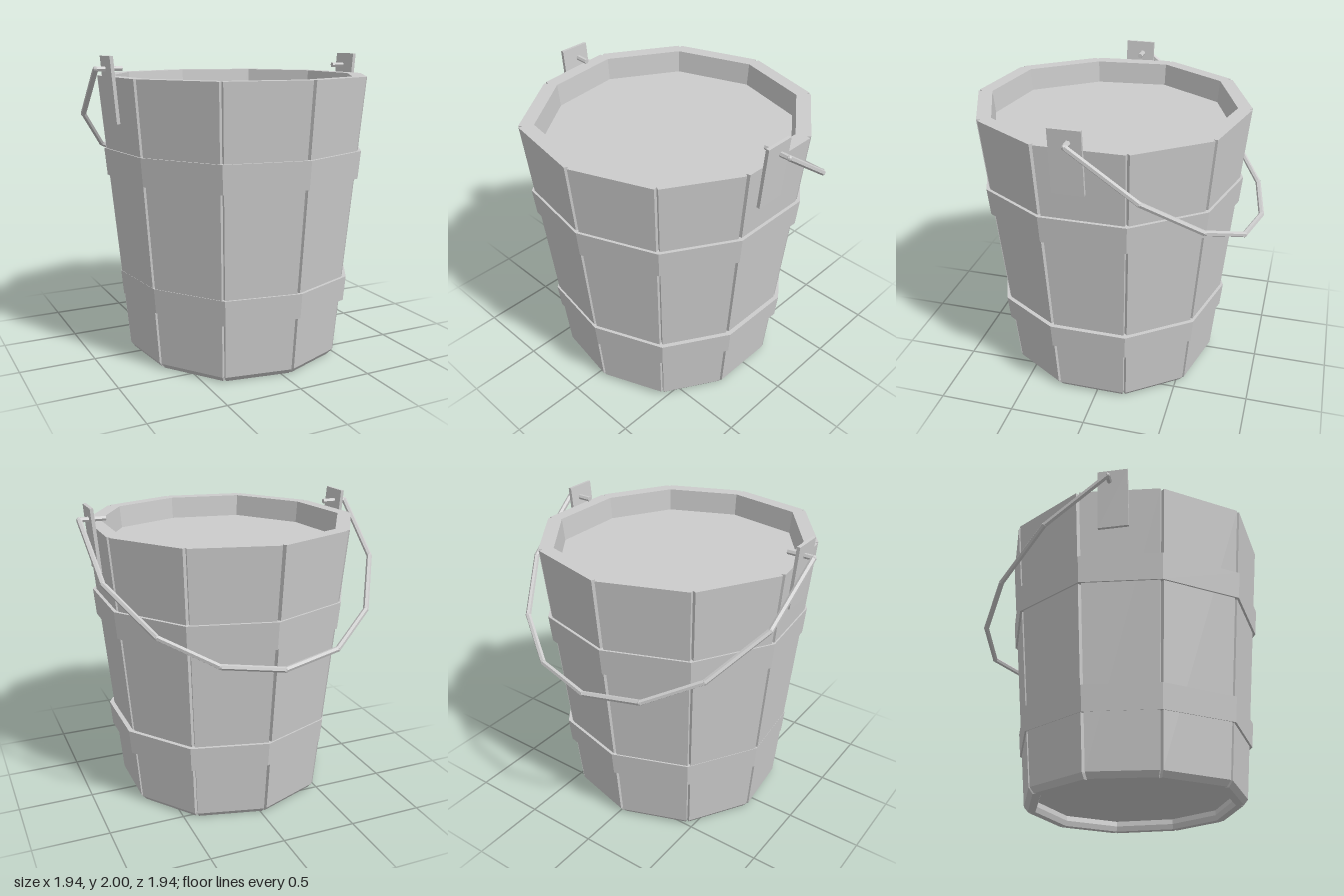
import * as THREE from 'three';

const mat = new THREE.MeshStandardMaterial({ color: 0xcccccc, flatShading: true, side: THREE.DoubleSide });
const CZ = 0.067, RIM = 1.87;

// Rim corners (x, z), anticlockwise seen from above
const corners = [
  [0.08, 0.97], [0.59, 0.76], [0.86, 0.31], [0.86, -0.26], [0.53, -0.70],
  [-0.03, -0.84], [-0.58, -0.63], [-0.88, -0.14], [-0.82, 0.41], [-0.48, 0.88],
].map(([x, z]) => new THREE.Vector2(x, z - CZ));

// Size of the tapered bucket at a height, relative to the rim
const taper = (y) => 0.805 + 0.195 * y / RIM;

function mesh(name, geometry) {
  const m = new THREE.Mesh(geometry, mat);
  m.name = name;
  return m;
}

// Solid skinned over stacked sections: [{ y, pts: [Vector2(x, z)] }]
function loft(sections) {
  const rings = sections.map(({ y, pts }) => pts.map((p) => [p.x, y, p.y + CZ]));
  const n = rings[0].length, pos = [];
  const tri = (a, b, c) => pos.push(...a, ...b, ...c);
  for (let r = 0; r < rings.length - 1; r++) {
    const lo = rings[r], hi = rings[r + 1];
    for (let i = 0; i < n; i++) {
      const j = (i + 1) % n;
      tri(lo[i], lo[j], hi[j]);
      tri(lo[i], hi[j], hi[i]);
    }
  }
  const bottom = rings[0], top = rings[rings.length - 1];
  for (let i = 1; i < n - 1; i++) {
    tri(bottom[0], bottom[i + 1], bottom[i]);
    tri(top[0], top[i], top[i + 1]);
  }
  const g = new THREE.BufferGeometry();
  g.setAttribute('position', new THREE.Float32BufferAttribute(pos, 3));
  g.computeVertexNormals();
  return g;
}

// Stave section with its outer corners trimmed to leave a groove at each joint
function staveSection(a, b, y, outer, inner) {
  const at = (p, s) => p.clone().multiplyScalar(s);
  const t = 0.022;
  return { y, pts: [
    at(a.clone().lerp(b, t), outer), at(b.clone().lerp(a, t), outer),
    at(b, outer - 0.03), at(b, inner), at(a, inner), at(a, outer - 0.03),
  ] };
}

function hoop(name, y0, y1, shift) {
  const g = new THREE.Group();
  g.name = name;
  corners.forEach((a, i) => {
    const b = corners[(i + 1) % corners.length];
    const section = (y) => {
      const s = taper(y);
      const at = (p, k) => p.clone().multiplyScalar(k).add(new THREE.Vector2(shift, 0));
      return { y, pts: [at(a, s + 0.018), at(b, s + 0.018), at(b, s - 0.04), at(a, s - 0.04)] };
    };
    g.add(mesh('hoopSegment', loft([section(y0), section(y1)])));
  });
  return g;
}

// Straight six-sided rod between two points
function rod(name, a, b, radius) {
  const d = b.clone().sub(a);
  const m = mesh(name, new THREE.CylinderGeometry(radius, radius, d.length(), 6));
  m.position.copy(a).addScaledVector(d, 0.5);
  m.quaternion.setFromUnitVectors(new THREE.Vector3(0, 1, 0), d.normalize());
  return m;
}

export function createModel() {
  const model = new THREE.Group();
  model.name = 'bucket';

  // Staves with a chamfered foot
  const staves = new THREE.Group();
  staves.name = 'staves';
  corners.forEach((a, i) => {
    const b = corners[(i + 1) % corners.length];
    staves.add(mesh('stave', loft([
      staveSection(a, b, 0, taper(0) - 0.028, taper(0) - 0.085),
      staveSection(a, b, 0.035, taper(0.035), taper(0.035) - 0.1),
      staveSection(a, b, RIM, 1, 0.895),
    ])));
  });
  model.add(staves);

  // Contents, with a recessed base and a level below the rim
  const fill = (y) => ({ y, pts: corners.map((p) => p.clone().multiplyScalar(taper(y) - 0.09)) });
  model.add(mesh('contents', loft([fill(0.07), fill(1.72)])));

  model.add(hoop('upperHoop', 1.22, 1.4, 0.006));
  model.add(hoop('lowerHoop', 0.39, 0.555, 0.014));

  // Bracket plates and pivot pins
  const pivot = { x: 0.955, y: 1.92, z: 0.075 };
  for (const side of [1, -1]) {
    const label = side > 0 ? 'left' : 'right';
    const plate = mesh(label + 'Bracket', new THREE.BoxGeometry(0.022, 0.415, 0.2));
    plate.position.set(side * 0.868, 1.793, 0.095);
    plate.rotation.z = -side * 0.085;
    model.add(plate);
    model.add(rod(label + 'Pin',
      new THREE.Vector3(side * 0.78, pivot.y, pivot.z),
      new THREE.Vector3(side * pivot.x, pivot.y, pivot.z), 0.017));
  }

  // Bail handle lying back in a sloping plane
  const half = [[0.95, 0.075], [0.92, -0.34], [0.70, -0.68], [0.385, -0.885]];
  const path = [...half, [0, -0.953], ...half.map(([x, z]) => [-x, z]).reverse()]
    .map(([x, z]) => new THREE.Vector3(x, pivot.y - (pivot.z - z) * 0.745, z));
  const handle = new THREE.Group();
  handle.name = 'handle';
  path.forEach((p, i) => {
    if (i) handle.add(rod('handleRod', path[i - 1], p, 0.018));
    const joint = mesh('handleJoint', new THREE.SphereGeometry(0.018, 8, 6));
    joint.position.copy(p);
    handle.add(joint);
  });
  model.add(handle);

  return model;
}
